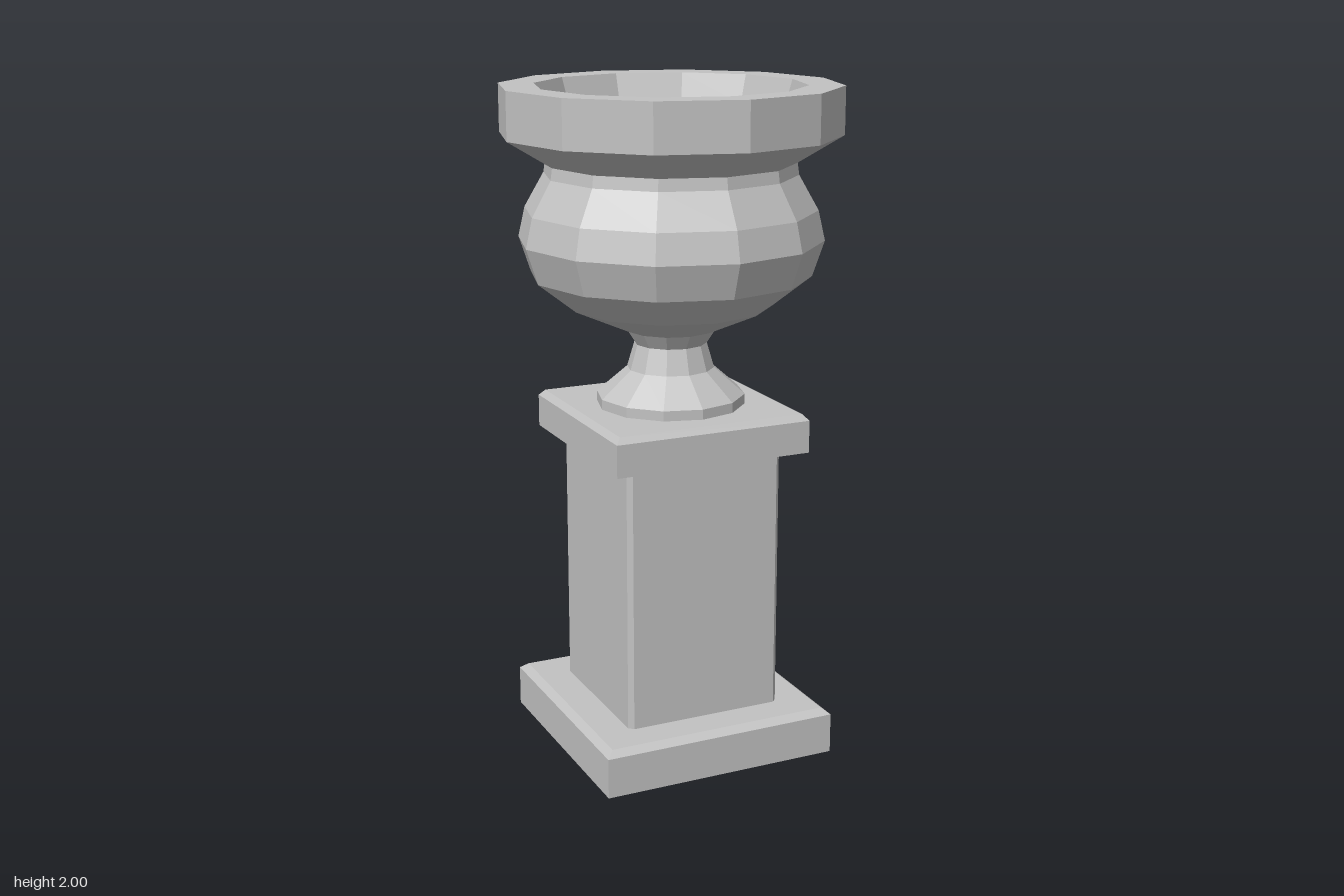
import * as THREE from 'three';

const stone = new THREE.MeshStandardMaterial({ color: 0xc2c2c2 });
stone.name = 'grey stone';

// Faceted mesh with one normal per face
function faceted(name, geometry) {
  const flat = geometry.index ? geometry.toNonIndexed() : geometry;
  flat.computeVertexNormals();
  const mesh = new THREE.Mesh(flat, stone);
  mesh.name = name;
  return mesh;
}

// Turned part from [radius, height] pairs, listed from the bottom up
function turned(name, profile) {
  const points = profile.map(([r, y]) => new THREE.Vector2(r, y));
  return faceted(name, new THREE.LatheGeometry(points, 12));
}

// Square slab with a bevelled top edge
function slab(name, half, y0, y1, bevel, bevelHeight) {
  const points = [
    [0, y0], [half, y0], [half, y1 - bevelHeight], [half - bevel, y1], [0, y1],
  ].map(([h, y]) => new THREE.Vector2(h * Math.SQRT2, y));
  return faceted(name, new THREE.LatheGeometry(points, 4, Math.PI / 4));
}

// Square shaft with chamfered corners
function shaft(name, half, chamfer, y0, y1) {
  const a = half, b = half - chamfer;
  const outline = [[a, -b], [a, b], [b, a], [-b, a], [-a, b], [-a, -b], [-b, -a], [b, -a]];
  const shape = new THREE.Shape(outline.map(([x, y]) => new THREE.Vector2(x, y)));
  const geometry = new THREE.ExtrudeGeometry(shape, { depth: y1 - y0, bevelEnabled: false });
  geometry.rotateX(-Math.PI / 2).translate(0, y0, 0);
  return faceted(name, geometry);
}

export function createModel() {
  const model = new THREE.Group();
  model.name = 'urnOnPedestal';

  // Pedestal
  const pedestal = new THREE.Group();
  pedestal.name = 'pedestal';
  pedestal.add(
    slab('plinth', 0.367, 0, 0.14, 0.022, 0.018),
    shaft('column', 0.246, 0.014, 0.14, 0.945),
    slab('cap', 0.306, 0.945, 1.06, 0.016, 0.018),
  );

  // Urn
  const urn = new THREE.Group();
  urn.name = 'urn';
  urn.add(
    turned('foot', [[0.222, 1.06], [0.222, 1.09], [0.13, 1.17], [0.108, 1.245], [0.135, 1.287]]),
    turned('bowl', [
      [0.135, 1.287], [0.3, 1.36], [0.415, 1.45], [0.45, 1.555],
      [0.43, 1.643], [0.372, 1.745], [0.367, 1.78],
    ]),
    turned('rim', [[0.367, 1.78], [0.5, 1.86], [0.5, 2], [0.396, 2], [0.37, 1.915]]),
    turned('basinFloor', [[0.37, 1.915], [0, 1.915]]),
  );

  model.add(pedestal, urn);
  return model;
}
